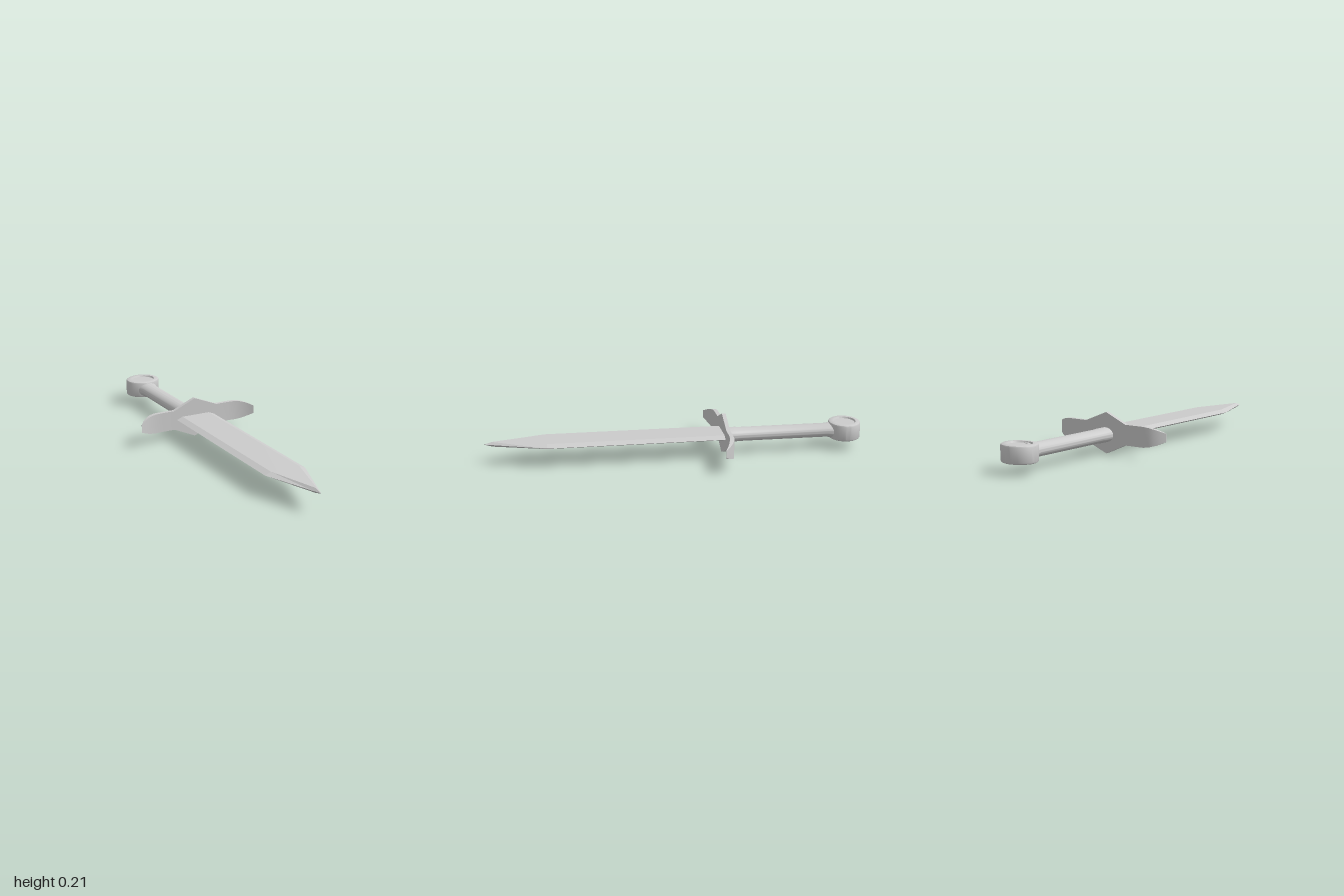
import * as THREE from 'three';
import { toCreasedNormals } from 'three/addons/utils/BufferGeometryUtils.js';

const material = new THREE.MeshStandardMaterial({ color: 0xcccccc });
const MID = 0.109; // height of the blade and guard axis

// Skin a row of equal-sized cross-sections (counter-clockwise seen from the far end)
function loft(sections, crease) {
  const pos = [];
  const tri = (...pts) => pts.forEach((p) => pos.push(...p));
  const n = sections[0].length;
  for (let i = 0; i < sections.length - 1; i++) {
    for (let j = 0; j < n; j++) {
      const k = (j + 1) % n;
      const [a, b, c, d] = [sections[i][j], sections[i][k], sections[i + 1][k], sections[i + 1][j]];
      tri(a, b, c);
      tri(a, c, d);
    }
  }
  const first = sections[0], last = sections[sections.length - 1];
  for (let j = 1; j < n - 1; j++) {
    tri(first[0], first[j + 1], first[j]);
    tri(last[0], last[j], last[j + 1]);
  }
  const geometry = new THREE.BufferGeometry();
  geometry.setAttribute('position', new THREE.Float32BufferAttribute(pos, 3));
  return toCreasedNormals(geometry, crease);
}

// Revolved profile with crisp edges
function turned(profile, segments = 48) {
  const points = profile.map(([r, y]) => new THREE.Vector2(r, y));
  return toCreasedNormals(new THREE.LatheGeometry(points, segments), 0.5);
}

function createModel() {
  const model = new THREE.Group();
  const add = (name, geometry) => {
    const mesh = new THREE.Mesh(geometry, material);
    mesh.name = name;
    model.add(mesh);
    return mesh;
  };

  // Blade: bevelled hexagonal section [z, half width, half flat, half thickness]
  const bladeSections = [
    [-0.255, 0.113, 0.08, 0.0135],
    [0.68, 0.113, 0.08, 0.0135],
    [0.955, 0.015, 0.002, 0.0125],
    [1.0, 0, 0, 0],
  ].map(([z, w, f, t]) => [
    [w, MID, z], [f, MID + t, z], [-f, MID + t, z],
    [-w, MID, z], [-f, MID - t, z], [f, MID - t, z],
  ]);
  add('blade', loft(bladeSections, 0.1));

  // Guard: half profile [x, half height, back z, front z], mirrored to both sides
  const arm = [
    [0.128, 0.053, -0.268, -0.248],
    [0.2, 0.053, -0.268, -0.248],
    [0.24, 0.053, -0.267, -0.245],
    [0.27, 0.049, -0.262, -0.239],
    [0.295, 0.042, -0.251, -0.231],
    [0.32, 0.032, -0.233, -0.22],
    [0.341, 0.021, -0.211, -0.207],
  ];
  const mirrored = arm.map(([x, ...rest]) => [-x, ...rest]).reverse();
  const guardSections = [...mirrored, [-0.005, 0.107, -0.268, -0.248], ...arm]
    .map(([x, h, back, front]) => [
      [x, MID - h, back], [x, MID + h, back],
      [x, MID + h, front], [x, MID - h, front],
    ]);
  add('guard', loft(guardSections, 0.4));

  // Grip: oval shaft with a ferrule at the guard and a slight flare at the pommel
  const grip = add('grip', turned([
    [0, 0.262], [0.051, 0.262], [0.051, 0.322], [0.0485, 0.332],
    [0.0485, 0.815], [0.056, 0.84], [0.056, 0.87], [0, 0.87],
  ]));
  grip.rotation.x = -Math.PI / 2;
  grip.scale.z = 0.74;
  grip.position.y = 0.099;

  // Pommel: oval disc with a shallow round recess in both faces
  const face = [
    [0.095, 0.036], [0.092, 0.042], [0.086, 0.045],
    [0.067, 0.045], [0.063, 0.037], [0, 0.037],
  ];
  const underside = face.map(([r, y]) => [r, -y]).reverse();
  const pommel = add('pommel', turned([...underside, ...face], 64));
  pommel.scale.z = 0.895;
  pommel.position.set(0, 0.101, -0.915);

  return model;
}

export { createModel };
